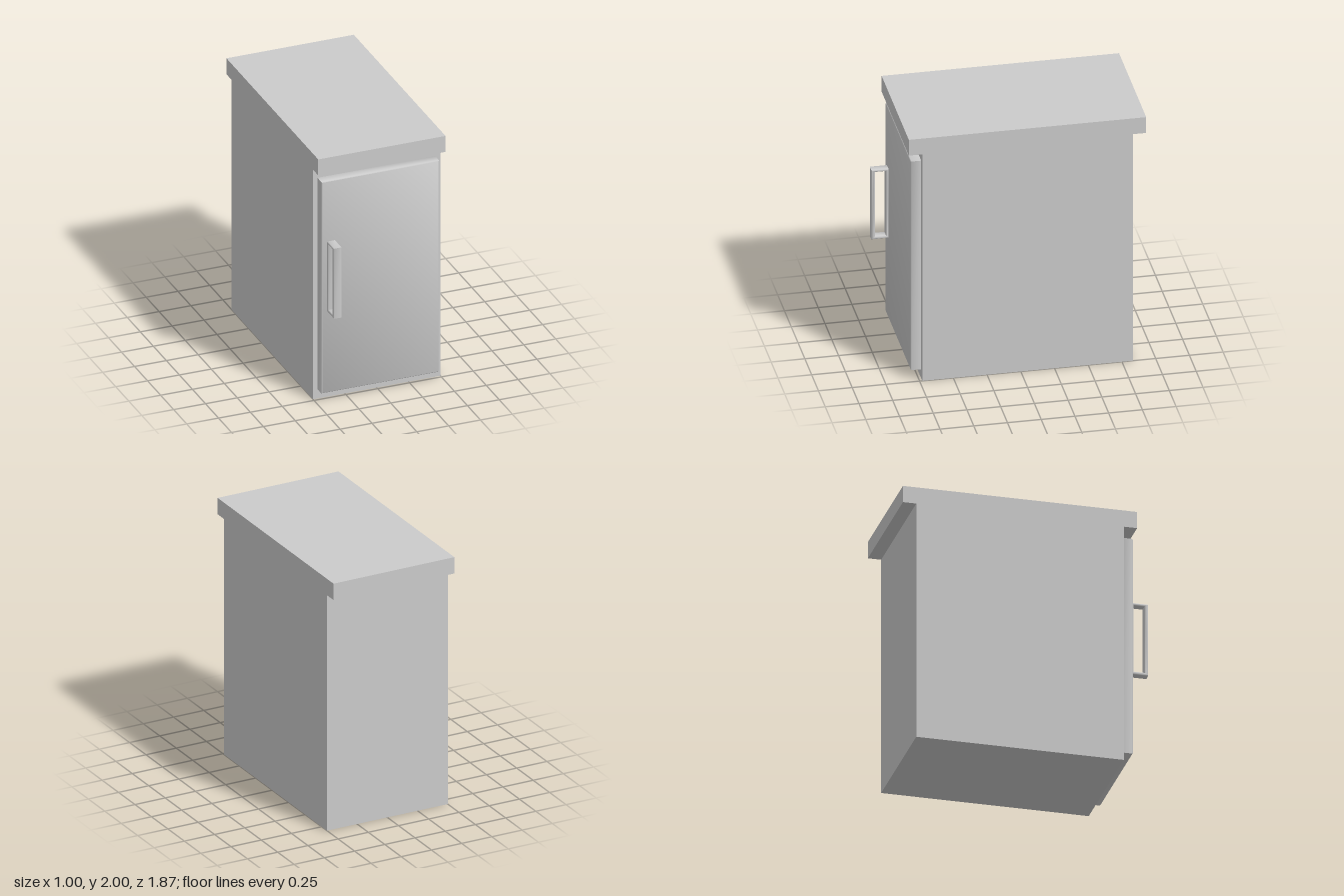
import * as THREE from 'three';
import { toCreasedNormals } from 'three/addons/utils/BufferGeometryUtils.js';

const material = new THREE.MeshStandardMaterial({ color: 0xcccccc });

function addMesh(group, name, geometry) {
  const mesh = new THREE.Mesh(geometry, material);
  mesh.name = name;
  group.add(mesh);
}

// Box given by its limits on each axis
function boxBetween(x0, x1, y0, y1, z0, z1) {
  return new THREE.BoxGeometry(x1 - x0, y1 - y0, z1 - z0)
    .translate((x0 + x1) / 2, (y0 + y1) / 2, (z0 + z1) / 2);
}

function rectangle(Type, x0, x1, y0, y1) {
  return new Type([[x0, y0], [x1, y0], [x1, y1], [x0, y1]].map(p => new THREE.Vector2(...p)));
}

// Extrusion from z = 0 to z = depth with softened edges inside the outline
function softExtrude(shape, depth, bevel) {
  const geometry = new THREE.ExtrudeGeometry(shape, {
    depth: depth - 2 * bevel,
    bevelThickness: bevel,
    bevelSize: bevel,
    bevelOffset: -bevel,
    bevelSegments: 1,
  }).translate(0, 0, bevel);
  return toCreasedNormals(geometry, 1);
}

export function createModel() {
  const model = new THREE.Group();
  model.name = 'cabinet';

  addMesh(model, 'cabinetBody', boxBetween(-0.5, 0.5, 0, 1.87, -0.83, 0.73));
  addMesh(model, 'countertop', boxBetween(-0.5, 0.5, 1.87, 2, -0.93, 0.83));

  // Door panel, its rear edge set slightly into the body
  const panel = rectangle(THREE.Shape, -0.465, 0.46, 0.075, 1.797);
  addMesh(model, 'door', softExtrude(panel, 0.09, 0.006).translate(0, 0, 0.718));

  // Handle: a closed rectangular loop drawn in side profile
  const loop = rectangle(THREE.Shape, 0.8, 0.935, 0.735, 1.306);
  loop.holes.push(rectangle(THREE.Path, 0.826, 0.908, 0.757, 1.288));
  const handle = softExtrude(loop, 0.067, 0.006).rotateY(-Math.PI / 2).translate(-0.355, 0, 0);
  addMesh(model, 'doorHandle', handle);

  return model;
}
